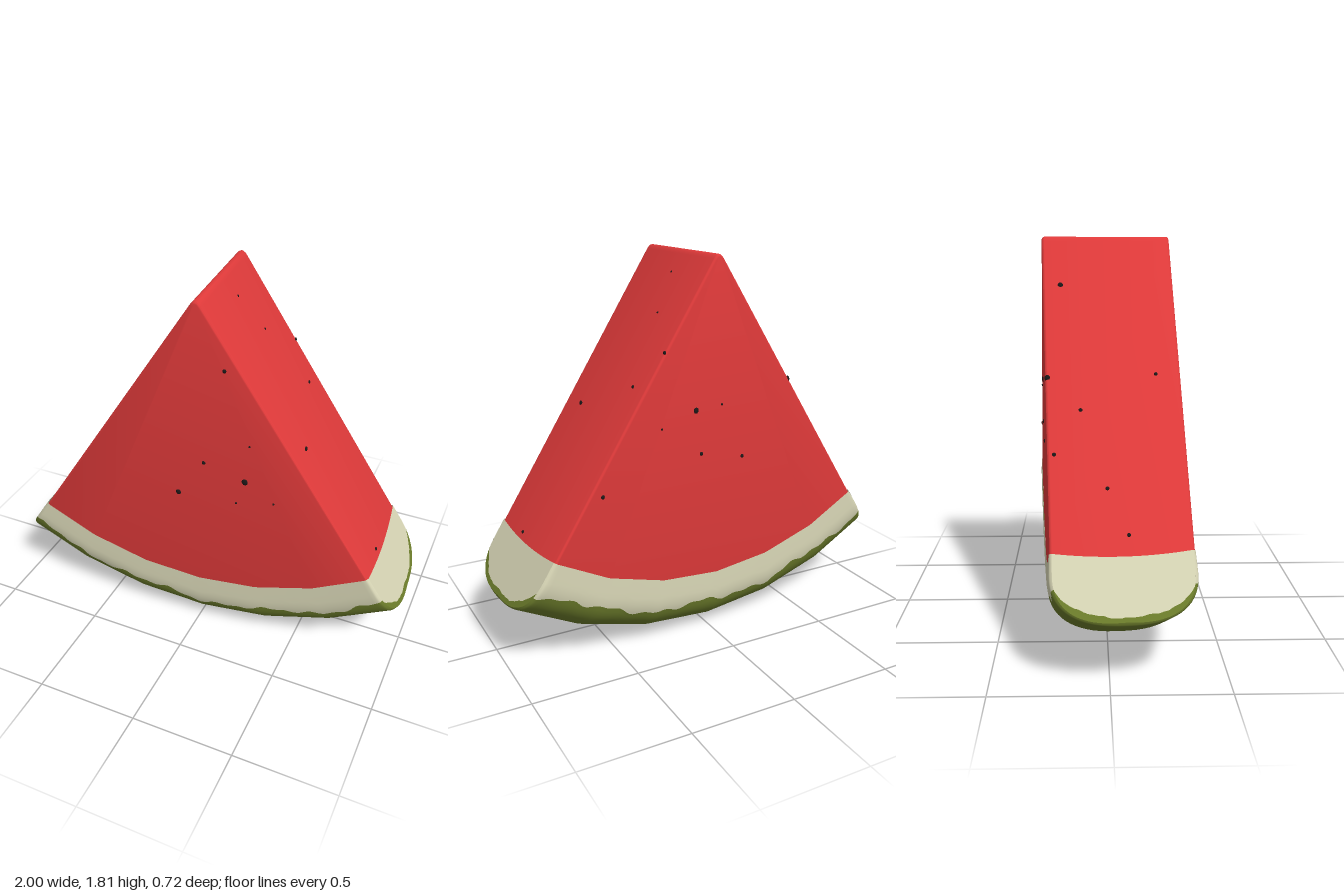
import * as THREE from 'three';
import { toCreasedNormals } from 'three/addons/utils/BufferGeometryUtils.js';

const APEX = 1.84;            // height of the wedge's theoretical tip
const HALF = 0.579;           // half opening angle
const SEG = HALF / 3;         // the rind arc has six straight segments
const THICK = 0.306;          // half thickness of the rind
const R0 = 1.62, BULGE = 0.215;

const mat = (name, color, side = THREE.FrontSide) => {
  const m = new THREE.MeshStandardMaterial({ color, side });
  m.name = name;
  return m;
};
const range = (n, a, b) => Array.from({ length: n + 1 }, (_, i) => a + (b - a) * i / n);
const lerp = THREE.MathUtils.lerp;

// Shortens the radius so that the arc becomes a chain of chords
function chord(th) {
  const k = Math.min(5, Math.max(0, Math.floor((th + HALF) / SEG)));
  return Math.cos(SEG / 2) / Math.cos(th + HALF - (k + 0.5) * SEG);
}

// Grid surface from f(u, v) = [angle, radius, z], smooth normals over a faceted arc
function patch(f, us, vs, flip) {
  const round = [], faceted = [], index = [], n = vs.length;
  us.forEach((u, i) => vs.forEach((v, j) => {
    const [th, r, z] = f(u, v), q = r * chord(th);
    round.push(Math.sin(th) * r, APEX - Math.cos(th) * r, z);
    faceted.push(Math.sin(th) * q, APEX - Math.cos(th) * q, z);
    if (i && j) {
      const d = i * n + j, c = d - 1, b = d - n, a = b - 1;
      if (flip) index.push(a, d, c, a, b, d);
      else index.push(a, c, d, a, d, b);
    }
  }));
  const g = new THREE.BufferGeometry();
  g.setAttribute('position', new THREE.Float32BufferAttribute(round, 3));
  g.setIndex(index);
  g.computeVertexNormals();
  g.setAttribute('position', new THREE.Float32BufferAttribute(faceted, 3));
  return g;
}

// Rind cross-section: straight sides, then a soft round outside
function section(t) {
  if (t < 0) return [R0 + t, THICK + t * 0.04];
  if (t > Math.PI) return [R0 + Math.PI - t, -THICK + (t - Math.PI) * 0.04];
  const c = Math.cos(t);
  return [R0 + BULGE * Math.pow(Math.max(0, Math.sin(t)), 0.8),
    THICK * Math.sign(c) * Math.pow(Math.abs(c), 0.8)];
}
const outerRadius = z =>
  R0 + BULGE * Math.pow(Math.max(0, 1 - Math.pow(Math.abs(z) / THICK, 2.5)), 0.4);

// Irregular edge of the green skin
const wobble = (x, p) =>
  0.5 * Math.sin(17 * x + p) + 0.3 * Math.sin(41 * x + 2.3 * p) + 0.25 * Math.sin(83 * x + p * p);

export function createModel() {
  const flesh = mat('flesh red', 0xe03a3a);
  const white = mat('rind cream', 0xd6d4b4, THREE.DoubleSide);
  const green = mat('skin green', 0x6c7c2b, THREE.DoubleSide);
  const black = mat('seed black', 0x1c1818);
  const model = new THREE.Group();
  model.name = 'melonSlice';
  const add = (name, geometry, material) => {
    const m = new THREE.Mesh(geometry, material);
    m.name = name;
    model.add(m);
    return m;
  };

  // Flesh wedge with a rounded tip and softened edges
  const shape = new THREE.Shape();
  const fa = HALF - 0.004, fr = 1.6;
  shape.moveTo(-0.026, 1.8);
  for (let i = 0; i <= 6; i++) {
    const a = lerp(-fa, fa, i / 6);
    shape.lineTo(Math.sin(a) * fr, APEX - Math.cos(a) * fr);
  }
  shape.lineTo(0.026, 1.8);
  shape.quadraticCurveTo(0, 1.84, -0.026, 1.8);
  const wedge = new THREE.ExtrudeGeometry(shape, {
    depth: 0.576, bevelSize: 0.012, bevelThickness: 0.012, bevelOffset: -0.012,
    bevelSegments: 3, curveSegments: 6,
  });
  wedge.translate(0, 0, -0.288);
  add('flesh', toCreasedNormals(wedge, 0.6), flesh);

  // Rind body, with its two ends drawn in to round their edges
  const angles = [-HALF, -HALF + 0.004, ...range(96, -HALF + 0.01, HALF - 0.01), HALF - 0.004, HALF];
  const inset = th => {
    const d = HALF - Math.abs(th);
    return d < 0.002 ? 0.014 : d < 0.006 ? 0.004 : 0;
  };
  const at = (th, t) => {
    const [r, z] = section(t), s = inset(th);
    return [th, t < 0 || t > Math.PI ? r : r - s * Math.sin(t), z * (1 - s / THICK)];
  };
  const frontEdge = th => 0.25 + 0.12 * wobble(th, 1);
  const backEdge = th => Math.PI - 0.25 - 0.12 * wobble(th, 4);
  const steps = range(8, 0, 1), fine = range(28, 0, 1);
  add('rindFront', patch((th, v) => at(th, lerp(-0.085, frontEdge(th), v)), angles, steps), white);
  add('rindBack', patch((th, v) => at(th, lerp(backEdge(th), Math.PI + 0.085, v)), angles, steps), white);
  add('skin', patch((th, v) => at(th, lerp(frontEdge(th), backEdge(th), v)), angles, fine), green);

  // Rind ends: cream inside, thin green skin outside
  const columns = range(40, -Math.PI / 2, Math.PI / 2).map(a => Math.sin(a) * THICK);
  const rows = range(3, 0, 1);
  for (const side of [-1, 1]) {
    const end = z => outerRadius(z) - 0.014 * (1 - Math.abs(z) / THICK);
    const inner = z => 1.535 + 0.02 * (1 - (z / THICK) ** 2);
    const edge = z => Math.min(end(z),
      1.68 + 0.12 * (1 - Math.abs(z / THICK) ** 3) + 0.007 * wobble(z * 1.5, side + 3));
    const shrink = 1 - 0.014 / THICK;
    const name = side > 0 ? 'left' : 'right';
    add(name + 'RindEnd', patch((z, v) =>
      [side * HALF, lerp(inner(z), edge(z), v), z * shrink], columns, rows, side > 0), white);
    add(name + 'SkinEnd', patch((z, v) =>
      [side * HALF, lerp(edge(z), end(z), v), z * shrink], columns, rows, side > 0), green);
  }

  // Seeds, flattened against the four cut faces
  const seedShape = new THREE.SphereGeometry(1, 8, 6);
  const seed = (x, y, z, size, turn) => {
    const m = add('seed', seedShape, black);
    m.position.set(x, y, z);
    m.rotation.set(0, turn, 0);
    m.scale.set(size, size * 1.1, 0.006);
  };
  const big = 0.013, mid = 0.009, tiny = 0.005;
  // front and back: x, y, size
  [[0.13, 1.52, mid], [0.25, 1.16, tiny], [0.03, 1.02, mid], [0.23, 0.96, 0.015],
    [-0.1, 0.82, big], [0.19, 0.83, tiny], [0.37, 0.87, tiny]]
    .forEach(([x, y, s]) => seed(x, y, 0.3, s, 0));
  [[0.12, 1.13, big], [0.09, 0.92, mid], [-0.14, 0.87, mid], [0.6, 0.81, mid],
    [0.3, 1.07, tiny], [-0.02, 1.14, tiny]]
    .forEach(([x, y, s]) => seed(x, y, -0.3, s, 0));
  // sloping sides: side, y, z, size
  [[1, 1.11, 0.16, big], [1, 1.41, -0.29, mid], [1, 1.25, -0.19, mid], [1, 1.72, -0.02, tiny],
    [1, 1.55, -0.08, tiny], [1, 0.56, 0.08, mid],
    [-1, 1.6, -0.22, big], [-1, 1.22, 0.19, mid], [-1, 1.21, -0.29, big], [-1, 1.08, -0.15, mid],
    [-1, 0.91, -0.27, mid], [-1, 0.78, -0.05, mid], [-1, 0.61, 0.03, mid]]
    .forEach(([side, y, z, s]) =>
      seed(side * ((APEX - y) * Math.tan(fa) - 0.001), y, z, s, side * Math.PI / 2));

  // The slice stands slightly turned
  model.rotation.y = 0.065;
  const root = new THREE.Group();
  root.name = 'melon';
  root.add(model);
  return root;
}
